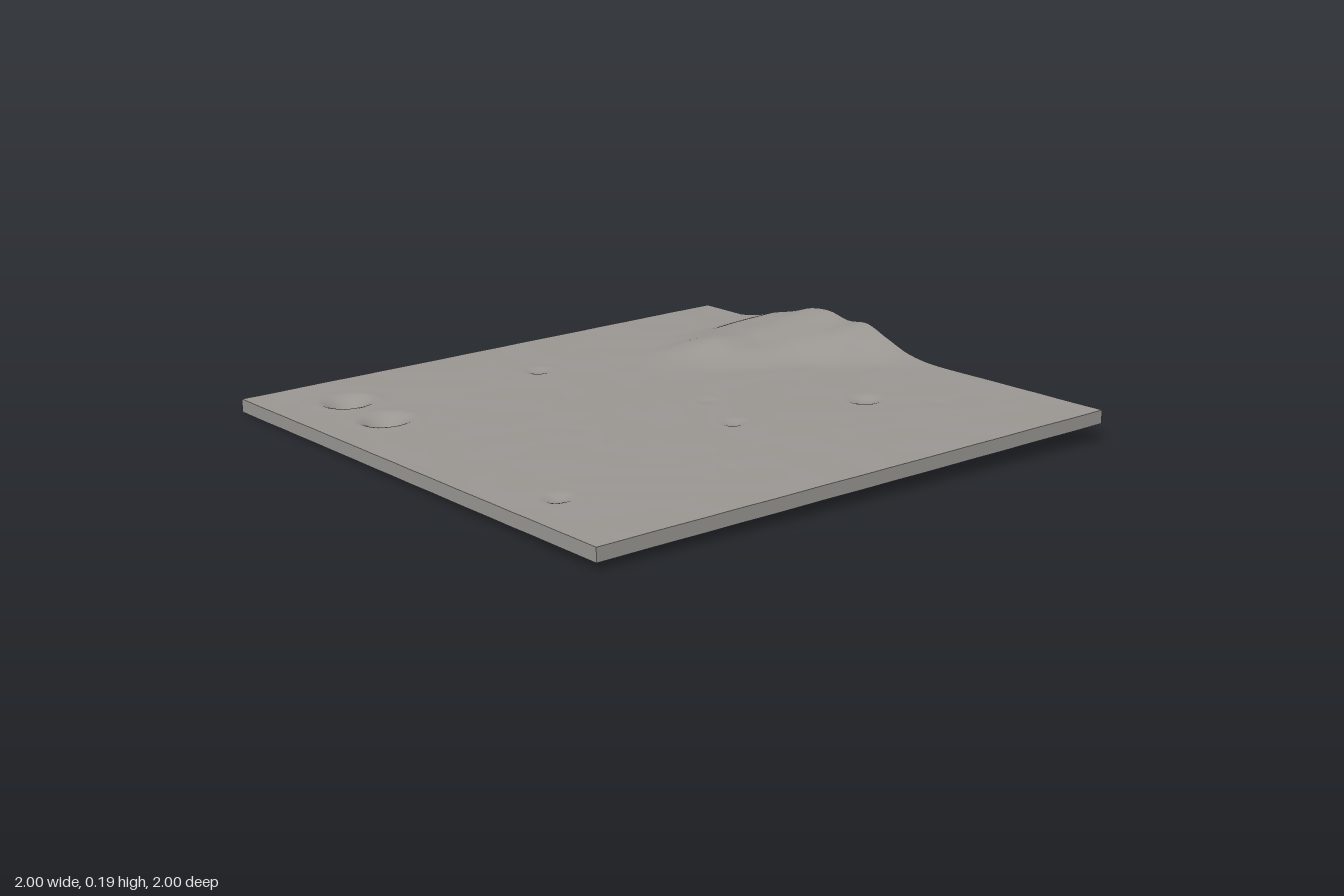
import * as THREE from 'three';

const SEGMENTS = 140;
const SKIRT = 0.045;

// Hill heights in thousandths: one row per x station (0.25 to 1), one column per z station (-0.8 to 0.3)
const HILL = [
  [0, 0, 0, 0, 0, 0, 0, 0, 0, 0, 0, 0],
  [0, 0, 0, 11, 14, 7, 0, 0, 0, 0, 0, 0],
  [0, 0, 8, 36, 51, 32, 10, 0, 0, 0, 0, 0],
  [0, 0, 23, 44, 50, 37, 35, 12, 0, 0, 0, 0],
  [0, 5, 36, 49, 62, 66, 66, 60, 22, 2, 0, 0],
  [0, 14, 42, 64, 93, 100, 82, 88, 54, 20, 4, 0],
];

// x, z, radius, depth
const CRATERS = [
  [-0.75, -0.73, 0.1, 0.034], [-0.77, -0.46, 0.1, 0.034],
  [0.53, 0.4, 0.065, 0.014], [-0.83, 0.58, 0.055, 0.012],
  [0.04, 0.32, 0.05, 0.009], [-0.05, -0.63, 0.055, 0.009],
  [0.14, 0.07, 0.05, 0.004], [-0.37, 0.05, 0.04, 0.003],
  [0.68, 0.58, 0.05, 0.003], [-0.28, 0.68, 0.04, 0.002],
];

// Smooth curve through evenly spaced values
function spline(values, t) {
  const last = values.length - 1;
  const i = Math.min(Math.floor(t), last - 1), f = t - i;
  const at = (k) => values[THREE.MathUtils.clamp(k, 0, last)];
  const a = at(i - 1), b = at(i), c = at(i + 1), d = at(i + 2);
  return b + 0.5 * f * (c - a + f * (2 * a - 5 * b + 4 * c - d + f * (3 * (b - c) + d - a)));
}

function hill(x, z) {
  const u = (x - 0.25) / 0.15, v = (z + 0.8) / 0.1;
  if (u <= 0 || v <= 0 || v >= 11) return 0;
  return Math.max(0, spline(HILL.map((row) => spline(row, v)), Math.min(u, 5))) / 1000;
}

function height(x, z) {
  let y = 0.075 + 0.02 * x + 0.01 * z + hill(x, z);
  // gentle unevenness of the plain
  y += 0.0005 * Math.sin(9 * x + 4 * Math.sin(5 * z)) * Math.sin(11 * z + 3 * Math.sin(6 * x));
  for (const [cx, cz, r, depth] of CRATERS) {
    const t = Math.hypot(x - cx, z - cz) / r;
    if (t < 1) y -= depth * (1 - t * t) ** 2;
    y += 0.06 * depth * Math.exp(-(((t - 1) / 0.2) ** 2)); // raised rim
  }
  return y;
}

export function createModel() {
  const group = new THREE.Group();
  group.name = 'terrainTile';
  const stone = new THREE.MeshStandardMaterial({ color: 0x999692, side: THREE.DoubleSide });
  stone.name = 'greyStone';

  const add = (name, geometry) => {
    geometry.computeVertexNormals();
    const mesh = new THREE.Mesh(geometry, stone);
    mesh.name = name;
    group.add(mesh);
  };

  // Ground sheet, open underneath
  const ground = new THREE.PlaneGeometry(2, 2, SEGMENTS, SEGMENTS).rotateX(-Math.PI / 2);
  const p = ground.attributes.position;
  for (let i = 0; i < p.count; i++) p.setY(i, height(p.getX(i), p.getZ(i)));
  add('ground', ground);

  // Border skirts hanging from the four edges
  ['frontSkirt', 'leftSkirt', 'backSkirt', 'rightSkirt'].forEach((name, side) => {
    const skirt = new THREE.PlaneGeometry(2, 1, SEGMENTS, 1).translate(0, 0, 1).rotateY(side * Math.PI / 2);
    const q = skirt.attributes.position;
    for (let i = 0; i < q.count; i++) {
      q.setY(i, height(q.getX(i), q.getZ(i)) - (q.getY(i) < 0 ? SKIRT : 0));
    }
    add(name, skirt);
  });
  return group;
}
